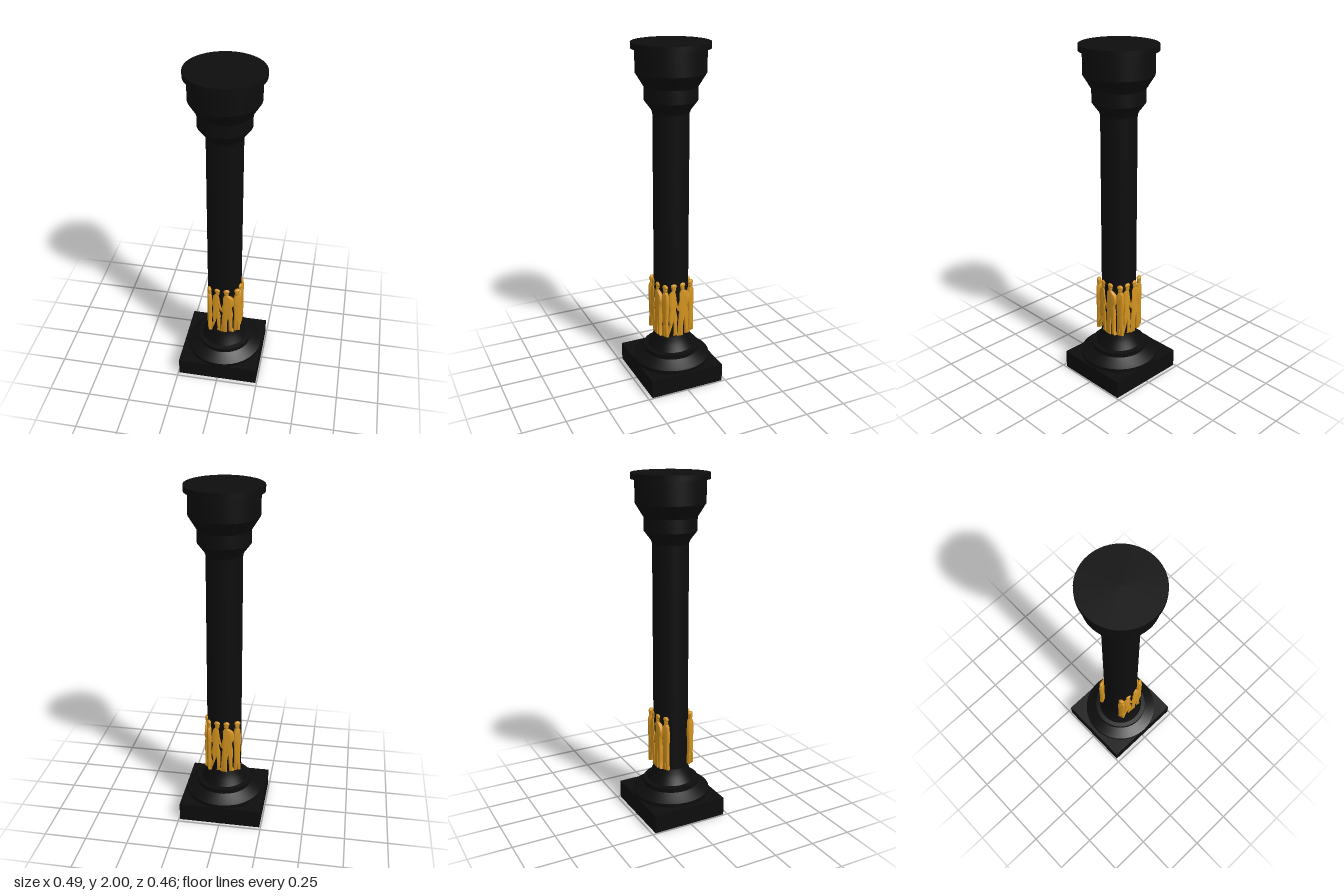
import * as THREE from 'three';
import { toCreasedNormals } from 'three/addons/utils/BufferGeometryUtils.js';

const black = new THREE.MeshStandardMaterial({ color: 0x0d0d0d });
black.name = 'black stone';
const gold = new THREE.MeshStandardMaterial({ color: 0xd2921f });
gold.name = 'gold';

const AXIS_X = 0.007; // the column stands slightly off the plinth centre

function add(parent, name, geometry, material, x = 0, y = 0, z = 0) {
  const mesh = new THREE.Mesh(geometry, material);
  mesh.name = name;
  mesh.position.set(x, y, z);
  parent.add(mesh);
  return mesh;
}

function turned(profile) {
  const points = profile.map(([r, y]) => new THREE.Vector2(r, y));
  return toCreasedNormals(new THREE.LatheGeometry(points, 48), 0.4);
}

// Body outlines, in hundredths of a unit
const walker = [[-3.5, 59], [-5.2, 57], [-6, 52], [-5.2, 47.5], [-6, 42], [-5, 37], [-7, 33],
  [-8, 30.8], [-6.2, 30], [-4, 36.5], [-3, 40], [-2.8, 36], [-2.7, 31.5], [-3, 29.8], [-0.6, 29.8],
  [-1, 31.5], [-0.8, 37], [-0.7, 42], [-1.6, 46.5], [-1.6, 49], [-0.5, 46], [0.5, 45.5],
  [-0.4, 49], [-1.2, 53], [-1.7, 57], [-2.4, 59]];
const draped = [[2, 59], [0.8, 57], [0.9, 52], [-0.6, 46.5], [0.6, 45], [0, 38], [-0.6, 29.2],
  [3.1, 29], [3.2, 37], [4, 41.5], [4.4, 36], [4.5, 30], [7.2, 30], [6.4, 32], [6.4, 37],
  [6.6, 44], [5.8, 49], [7.4, 52], [6.8, 56.5], [5, 57.8], [3.4, 59]];
const attendant = [[-0.6, 59], [-1.8, 57], [-2.1, 50], [-1.6, 44], [-1.7, 36], [-1.9, 30],
  [-0.2, 30], [0, 38], [0.3, 30], [2, 30], [1.6, 37], [1.7, 44], [2.1, 50], [1.8, 57], [0.6, 59]];

function relief(name, outline, headX) {
  const figure = new THREE.Group();
  figure.name = name;
  const shape = new THREE.Shape(outline.map(([x, y]) => new THREE.Vector2(x / 100, y / 100)));
  const body = new THREE.ExtrudeGeometry(shape, {
    depth: 0.012, bevelEnabled: true, bevelThickness: 0.005, bevelSize: 0.003,
    bevelOffset: -0.002, bevelSegments: 2,
  });
  add(figure, 'body', toCreasedNormals(body, 0.9), gold, 0, 0, 0.09);

  // Head with a cap of hair on top
  const head = add(figure, 'head', new THREE.SphereGeometry(1, 14, 10), gold, headX, 0.602, 0.097);
  head.scale.set(0.014, 0.023, 0.012);
  const hair = add(figure, 'hair', new THREE.SphereGeometry(1, 12, 8), gold, headX, 0.617, 0.097);
  hair.scale.set(0.019, 0.016, 0.012);
  return figure;
}

function sideFigure() {
  const figure = relief('attendantFigure', attendant, 0);
  figure.position.set(0.052, 0, -0.012);
  figure.rotation.y = 0.4;
  return figure;
}

export function createModel() {
  const model = new THREE.Group();
  model.name = 'column';

  // Square plinth
  add(model, 'plinth', new THREE.BoxGeometry(0.486, 0.11, 0.455), black, 0, 0.055, -0.002);

  // Stepped round base flaring in to the shaft
  add(model, 'base', turned([[0, 0.105], [0.23, 0.105], [0.23, 0.132], [0.205, 0.145], [0.164, 0.17],
    [0.164, 0.197], [0.138, 0.2], [0.12, 0.235], [0.108, 0.265], [0.102, 0.29]]), black, AXIS_X);

  // Plain shaft
  add(model, 'shaft', turned([[0.102, 0.28], [0.102, 1.63]]), black, AXIS_X);

  // Capital widening in two stages
  add(model, 'capital', turned([[0.102, 1.62], [0.11, 1.64], [0.148, 1.69], [0.148, 1.765],
    [0.155, 1.775], [0.195, 1.84], [0.195, 1.97]]), black, AXIS_X);

  // Thin round slab on top
  add(model, 'topSlab', toCreasedNormals(new THREE.CylinderGeometry(0.217, 0.217, 0.032, 48), 0.4),
    black, AXIS_X, 1.984);

  // Gilded figures on each face; the left face keeps only its forward one
  const frieze = new THREE.Group();
  frieze.name = 'frieze';
  frieze.position.x = AXIS_X;
  model.add(frieze);
  ['front', 'right', 'back', 'left'].forEach((side, i) => {
    const panel = new THREE.Group();
    panel.name = side + 'Figures';
    panel.rotation.y = i * Math.PI / 2;
    if (side !== 'left') {
      panel.add(relief('walkingFigure', walker, -0.026), relief('drapedFigure', draped, 0.028));
    }
    panel.add(sideFigure());
    frieze.add(panel);
  });

  return model;
}
